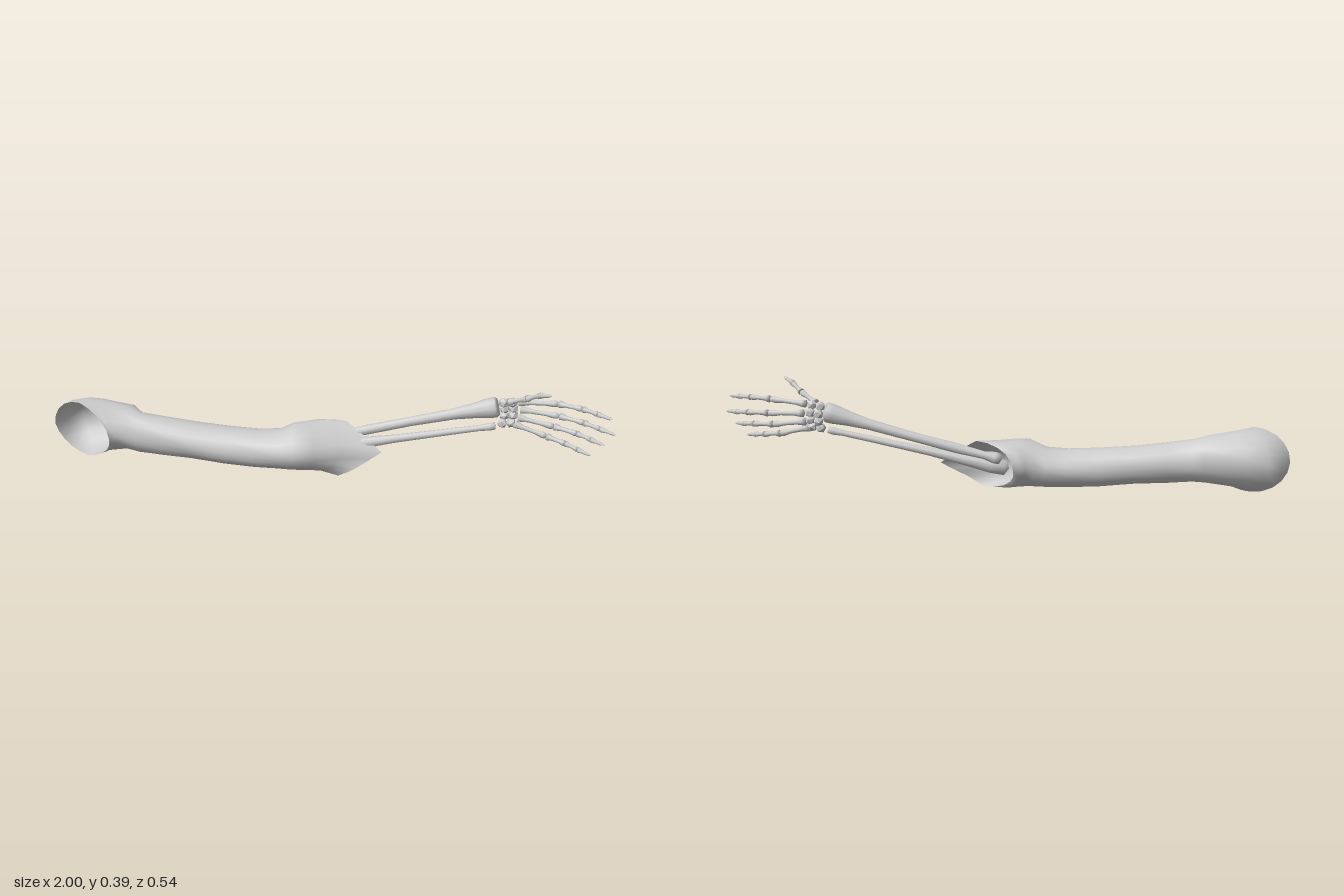
import * as THREE from 'three';

const V = (x, y, z) => new THREE.Vector3(x, y, z);
const grey = new THREE.MeshStandardMaterial({ color: 0xcccccc, side: THREE.DoubleSide });

function add(parent, name, geometry) {
  const mesh = new THREE.Mesh(geometry, grey);
  mesh.name = name;
  parent.add(mesh);
  return mesh;
}

// A turned bone from a to b, bowed along z; profile rows are [radius, fraction of length]
function bone(parent, name, a, b, profile, sides = 8, bow = 0) {
  const axis = b.clone().sub(a);
  const points = profile.map(([r, t]) => new THREE.Vector2(r, t * axis.length()));
  const g = new THREE.LatheGeometry(points, sides);
  const turn = new THREE.Quaternion().setFromUnitVectors(V(0, 1, 0), axis.clone().normalize());
  g.applyQuaternion(turn).translate(a.x, a.y, a.z);
  const p = g.attributes.position;
  for (let i = 0; i < p.count; i++) {
    const t = THREE.MathUtils.clamp((p.getX(i) - a.x) / axis.x, 0, 1);
    p.setZ(i, p.getZ(i) + bow * Math.sin(Math.PI * t));
  }
  return add(parent, name, g);
}

// Cloth tube lofted through rings: [front x, front z, back x, back z, bottom y, top y,
// pinch of the front edge to a point, z shift of the bottom edge]
function sleeveGeometry(rings, sides) {
  const positions = [], index = [];
  rings.forEach(([fx, fz, bx, bz, y0, y1, pinch = 0, shift = 0], i) => {
    for (let j = 0; j < sides; j++) {
      const a = (j / sides) * Math.PI * 2;
      const c = Math.cos(a), s = Math.sin(a);
      const fold = i > 0 && i < rings.length - 1 ? 1 + 0.035 * Math.sin(3 * a + i * 1.9) : 1;
      const diamond = 1 / (Math.abs(c) + Math.abs(s));
      const k = c > 0 ? THREE.MathUtils.lerp(1, diamond, pinch) : 1;
      positions.push(
        (fx + bx) / 2 + ((fx - bx) / 2) * c * k * fold,
        (y0 + y1) / 2 + ((y1 - y0) / 2) * s * k,
        (fz + bz) / 2 + ((fz - bz) / 2) * c * k * fold + shift * Math.max(0, -s)
      );
      if (i === 0) continue;
      const n = (j + 1) % sides;
      const p = (i - 1) * sides, q = i * sides;
      index.push(p + j, q + j, p + n, p + n, q + j, q + n);
    }
  });
  const g = new THREE.BufferGeometry();
  g.setAttribute('position', new THREE.Float32BufferAttribute(positions, 3));
  g.setIndex(index);
  g.computeVertexNormals();
  return g;
}

export function createModel() {
  const model = new THREE.Group();
  model.name = 'skeletalArm';

  // Sleeve: armhole opens to the front, pointed cuff opens to the back
  add(model, 'sleeve', sleeveGeometry([
    [-0.735, 0.255, -1.0, 0.215, 0.012, 0.24, 0.35, -0.03],
    [-0.733, 0.264, -0.985, 0.16, 0.015, 0.24, 0.35, -0.02],
    [-0.733, 0.264, -0.945, 0.11, 0.022, 0.238, 0.35, -0.01],
    [-0.733, 0.258, -0.87, 0.08, 0.035, 0.232, 0.35],
    [-0.715, 0.235, -0.725, 0.06, 0.048, 0.215, 0.2],
    [-0.66, 0.21, -0.68, 0.09, 0.045, 0.198],
    [-0.57, 0.195, -0.6, 0.055, 0.04, 0.185],
    [-0.46, 0.17, -0.49, 0.025, 0.035, 0.17],
    [-0.34, 0.14, -0.36, -0.012, 0.022, 0.16],
    [-0.23, 0.115, -0.26, -0.045, 0.018, 0.155],
    [-0.15, 0.1, -0.19, -0.07, 0.018, 0.16],
    [-0.08, 0.1, -0.15, -0.085, 0.018, 0.188, 0.1],
    [-0.01, 0.055, -0.13, -0.1, 0.015, 0.192, 0.3, 0.02],
    [0.07, -0.015, -0.11, -0.118, 0.01, 0.192, 0.6, 0.045],
    [0.195, -0.082, -0.09, -0.115, 0.005, 0.19, 0.9, 0.08]
  ], 20));

  // Forearm
  const forearm = new THREE.Group();
  forearm.name = 'forearm';
  model.add(forearm);
  bone(forearm, 'radius', V(-0.03, 0.12, -0.06), V(0.578, 0.285, -0.228),
    [[0, 0], [0.02, 0.01], [0.022, 0.04], [0.014, 0.1], [0.018, 0.25], [0.017, 0.5],
      [0.02, 0.75], [0.027, 0.86], [0.036, 0.95], [0.037, 0.985], [0.03, 1], [0, 0.99]], 10, -0.014);
  bone(forearm, 'ulna', V(-0.05, 0.085, -0.04), V(0.575, 0.216, -0.212),
    [[0, 0], [0.028, 0.02], [0.03, 0.1], [0.022, 0.25], [0.015, 0.45], [0.012, 0.75],
      [0.011, 0.92], [0.014, 0.97], [0.012, 1], [0, 1]], 10);

  const hand = new THREE.Group();
  hand.name = 'hand';
  model.add(hand);

  // Faceted wrist bones in two rows
  for (let row = 0; row < 2; row++) {
    for (let i = 0; i < 4; i++) {
      const carpal = add(hand, 'carpal', new THREE.IcosahedronGeometry(0.019, 0));
      carpal.position.set(0.6 + row * 0.03 - Math.abs(i - 1.5) * 0.003, 0.225 + i * 0.026 + row * 0.004,
        -0.228 - 0.012 * Math.sin((i / 3) * Math.PI) - row * 0.006);
      carpal.rotation.set(i, row + i * 0.7, i * 1.3);
    }
  }

  // Fingers: base, then the joints out to the tip
  const shape = (r) => [[0, 0], [r, 0.02], [r * 0.95, 0.1], [r * 0.6, 0.3], [r * 0.55, 0.65],
    [r * 0.85, 0.88], [r * 0.7, 0.97], [0, 1]];
  const tip = (r) => [[0, 0], [r, 0.03], [r * 0.6, 0.4], [r * 0.55, 0.75], [0, 1]];
  const fingers = {
    thumb: [V(0.615, 0.312, -0.222), V(0.685, 0.345, -0.2), V(0.73, 0.372, -0.18), V(0.78, 0.39, -0.155)],
    indexFinger: [V(0.645, 0.31, -0.238), V(0.785, 0.322, -0.25), V(0.872, 0.322, -0.238),
      V(0.927, 0.319, -0.222), V(0.983, 0.315, -0.204)],
    middleFinger: [V(0.65, 0.278, -0.25), V(0.79, 0.272, -0.26), V(0.88, 0.267, -0.248),
      V(0.938, 0.262, -0.23), V(0.998, 0.258, -0.21)],
    ringFinger: [V(0.645, 0.248, -0.246), V(0.775, 0.231, -0.255), V(0.86, 0.225, -0.242),
      V(0.912, 0.219, -0.225), V(0.963, 0.214, -0.206)],
    littleFinger: [V(0.635, 0.225, -0.236), V(0.755, 0.196, -0.24), V(0.825, 0.186, -0.228),
      V(0.872, 0.179, -0.212), V(0.922, 0.172, -0.196)]
  };
  for (const [name, joints] of Object.entries(fingers)) {
    const finger = new THREE.Group();
    finger.name = name;
    hand.add(finger);
    for (let i = 0; i < joints.length - 1; i++) {
      const r = 0.0145 - i * 0.0015;
      const last = i === joints.length - 2;
      bone(finger, i === 0 ? 'metacarpal' : 'phalanx', joints[i], joints[i + 1], last ? tip(r) : shape(r));
    }
  }
  return model;
}
